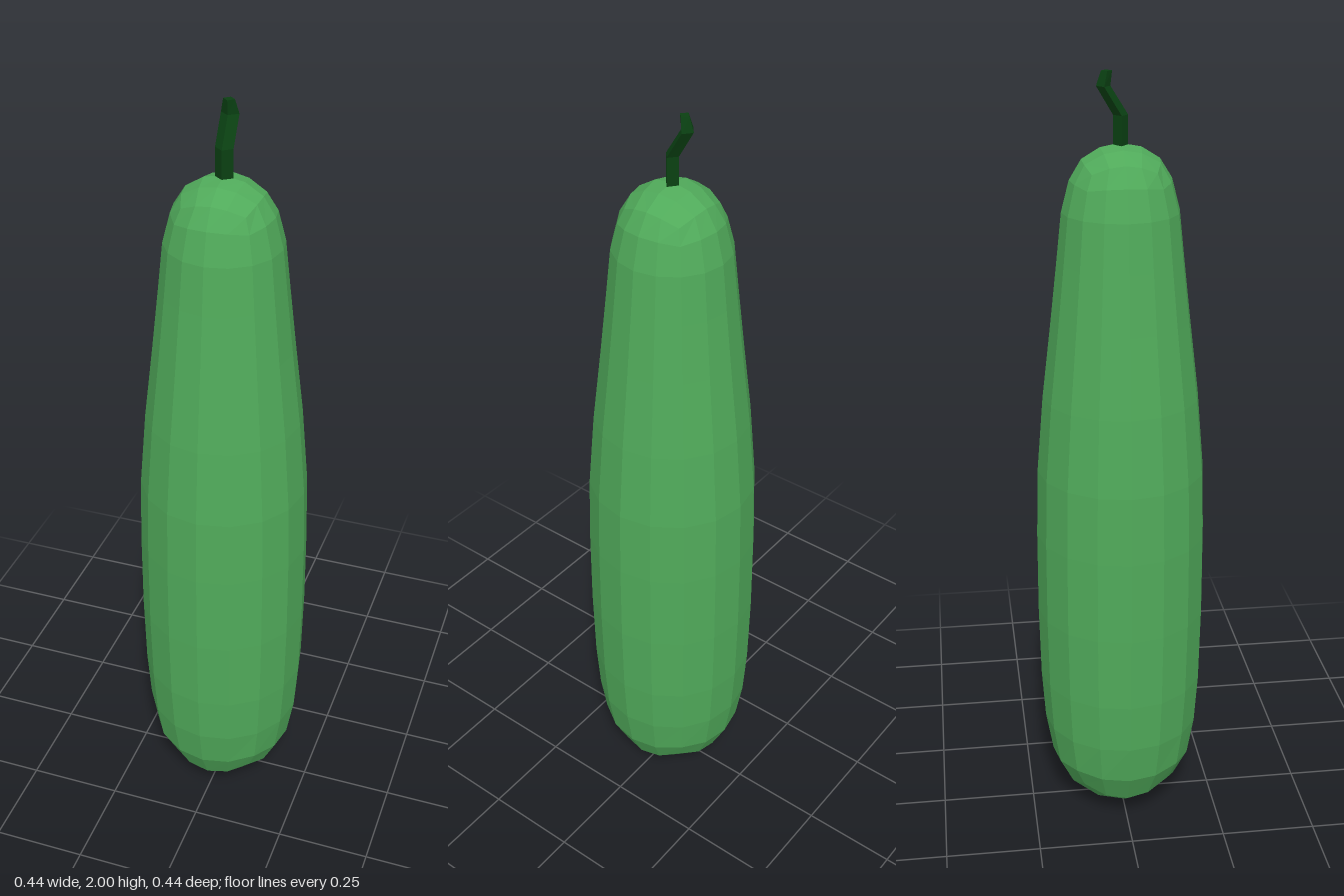
import * as THREE from 'three';

const skin = new THREE.MeshStandardMaterial({ color: 0x50aa5a, flatShading: true });
skin.name = 'fruit green';
const stalk = new THREE.MeshStandardMaterial({ color: 0x0a4012, flatShading: true });
stalk.name = 'dark stem green';

function facet(geometry) {
  const g = geometry.toNonIndexed();
  g.computeVertexNormals();
  return g;
}

// Rings from bottom to top: [y, radius, corner lift, corner radius factor]
const rings = [
  [0.07, 0.148, 0.035, 1.1], [0.155, 0.19, 0.01, 1.02], [0.265, 0.209, 0, 1],
  [0.4, 0.218, 0, 1], [0.6, 0.222, 0, 1], [0.82, 0.221, 0, 1], [1.0, 0.216, 0, 1],
  [1.2, 0.199, 0, 1], [1.4, 0.175, 0, 1], [1.55, 0.158, 0, 1], [1.67, 0.145, 0, 1],
  [1.747, 0.125, -0.01, 1.02], [1.795, 0.095, -0.022, 1.16],
];
// Inner ring and centre of each end cap
const caps = {
  bottom: { inner: [0.018, 0.078, 0.014, 1.3], centre: 0.003 },
  top: { inner: [1.823, 0.05, -0.008, 1.28], centre: 1.832 },
};

// Body: a gridded box rounded into 16-sided rings with quad-grid ends
function bodyGeometry() {
  const last = rings.length - 1;
  const g = new THREE.BoxGeometry(2, 2, 2, 4, last, 4);
  const p = g.attributes.position;
  for (let i = 0; i < p.count; i++) {
    const x = p.getX(i), z = p.getZ(i);
    const j = Math.round((p.getY(i) + 1) / 2 * last);
    const m = Math.max(Math.abs(x), Math.abs(z));
    const cap = j === 0 ? caps.bottom : caps.top;
    if (m < 0.01) {
      p.setXYZ(i, 0, cap.centre, 0);
      continue;
    }
    const [y, r, lift, grow] = m > 0.9 ? rings[j] : cap.inner;
    const corner = Math.min(Math.abs(x), Math.abs(z)) / m;
    const a = corner * Math.PI / 4;
    const t = corner * corner;
    const radius = r * (1 + (grow - 1) * t);
    const major = radius * Math.cos(a), minor = radius * Math.sin(a);
    const xMajor = Math.abs(x) >= Math.abs(z);
    p.setXYZ(i, Math.sign(x) * (xMajor ? major : minor), y + lift * t,
      Math.sign(z) * (xMajor ? minor : major));
  }
  return facet(g);
}

// Stem: diamond cross-sections [y, z, half width, half depth]
function stemGeometry() {
  const sections = [
    [1.815, 0, 0.022, 0.018], [1.898, 0, 0.022, 0.018],
    [1.965, -0.041, 0.022, 0.017], [2.0, -0.033, 0.014, 0.013],
  ];
  const g = new THREE.CylinderGeometry(1, 1, 1, 4, 3);
  const p = g.attributes.position;
  for (let i = 0; i < p.count; i++) {
    const [y, z, w, d] = sections[Math.round((p.getY(i) + 0.5) * 3)];
    p.setXYZ(i, p.getX(i) * w, y, z + p.getZ(i) * d);
  }
  return facet(g);
}

export function createModel() {
  const group = new THREE.Group();
  group.name = 'vegetable';
  const body = new THREE.Mesh(bodyGeometry(), skin);
  body.name = 'body';
  const stem = new THREE.Mesh(stemGeometry(), stalk);
  stem.name = 'stem';
  group.add(body, stem);
  return group;
}
